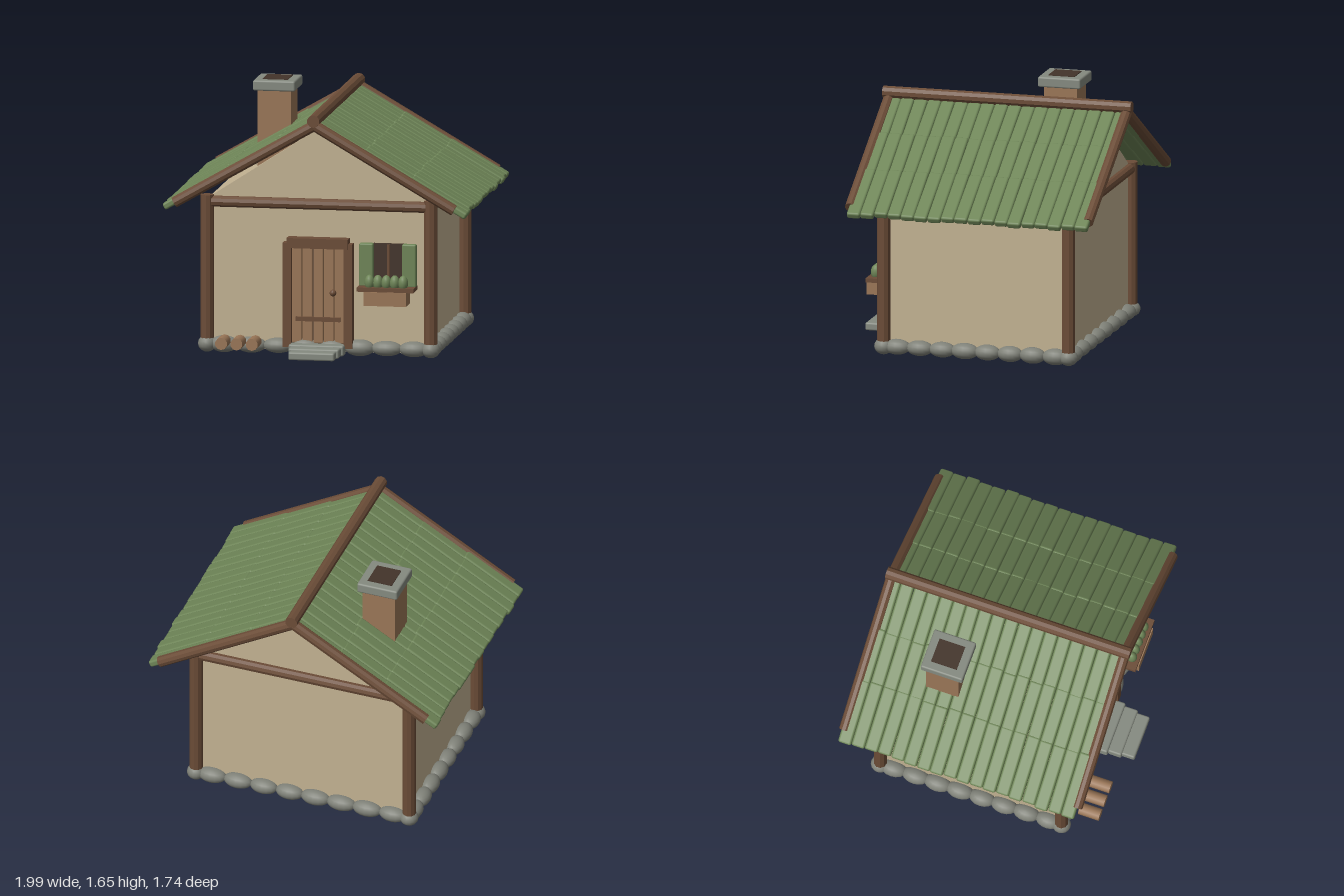
import * as THREE from 'three';
import { RoundedBoxGeometry } from 'three/addons/geometries/RoundedBoxGeometry.js';

const mat = (name, color, flatShading = false) => {
  const m = new THREE.MeshStandardMaterial({ color, flatShading });
  m.name = name;
  return m;
};

export function createModel() {
  const house = new THREE.Group();
  house.name = 'cottage';
  const plaster = mat('plaster', 0xc2b292);
  const timber = mat('timber', 0x6b4c37, true);
  const plankWood = mat('plankWood', 0x9a7657);
  const green = mat('green', 0x6e8557);
  const stone = mat('stone', 0x7f8178);
  const slabGrey = mat('slabGrey', 0x858a80);
  const dark = mat('dark', 0x43342a);

  let seed = 7;
  const rand = () => (seed = (seed * 16807) % 2147483647) / 2147483647 - 0.5;

  const add = (name, geo, material, x, y, z, parent = house) => {
    const m = new THREE.Mesh(geo, material);
    m.name = name;
    m.position.set(x, y, z);
    parent.add(m);
    return m;
  };
  const box = (name, material, w, h, d, x, y, z, parent) =>
    add(name, new THREE.BoxGeometry(w, h, d), material, x, y, z, parent);
  const rbox = (name, material, w, h, d, r, x, y, z, parent) =>
    add(name, new RoundedBoxGeometry(w, h, d, 2, r), material, x, y, z, parent);
  // Straight log between two points
  const log = (name, r, a, b, material = timber, parent = house) => {
    const p = new THREE.Vector3(...a), q = new THREE.Vector3(...b);
    const d = q.clone().sub(p);
    const m = add(name, new THREE.CylinderGeometry(r, r, d.length(), 10), material, 0, 0, 0, parent);
    m.position.copy(p).add(q).multiplyScalar(0.5);
    m.quaternion.setFromUnitVectors(new THREE.Vector3(0, 1, 0), d.normalize());
    return m;
  };

  const zF = 0.58, zB = -0.655, zC = (zF + zB) / 2;

  // Walls and gables
  box('walls', plaster, 1.4, 1.0, zF - zB - 0.02, 0, 0.53, zC);
  const tri = new THREE.Shape([[-0.7, 1.025], [0.7, 1.025], [0, 1.48]].map(p => new THREE.Vector2(...p)));
  const gableGeo = new THREE.ExtrudeGeometry(tri, { depth: 0.06, bevelEnabled: false });
  add('frontGable', gableGeo, plaster, 0, 0, zF - 0.07);
  add('backGable', gableGeo, plaster, 0, 0, zB + 0.01);

  // Corner posts and tie beams
  for (const z of [zF, zB]) {
    for (const x of [-0.73, 0.73]) log('cornerPost', 0.044, [x, 0.05, z], [x, 1.03, z]);
    log('tieBeam', 0.036, [-0.7, 0.987, z], [0.7, 0.987, z]);
  }

  // Foundation stones
  const ball = new THREE.SphereGeometry(1, 16, 10);
  const stones = new THREE.Group();
  stones.name = 'foundationStones';
  house.add(stones);
  const cobble = (x, z, rx, rz) =>
    add('stone', ball, stone, x, 0.06, z, stones).scale.set(rx, 0.052 + rand() * 0.006, rz);
  for (let i = 0; i < 8; i++) {
    const x = (i - 3.5) * 0.177;
    for (const z of [zF, zB]) cobble(x, z, 0.098 + rand() * 0.01, 0.06);
    for (const s of [-1, 1]) cobble(s * 0.73, zC + (i - 3.5) * 0.151, 0.058, 0.088 + rand() * 0.01);
  }
  for (const x of [-0.73, 0.73]) for (const z of [zF, zB]) cobble(x, z, 0.06, 0.062);

  // Roof: three rows of rounded planks on each slope
  const pitch = Math.PI / 6, cos = Math.cos(pitch), tan = Math.tan(pitch), apex = 1.528;
  for (const side of [-1, 1]) {
    const slope = new THREE.Group();
    slope.name = side > 0 ? 'leftRoofSlope' : 'rightRoofSlope';
    house.add(slope);
    for (let row = 0; row < 3; row++) {
      for (let i = 0; i < 18; i++) {
        const x0 = row * 0.303 + (row ? rand() * 0.012 : 0.01);
        const x1 = row === 2 ? 0.983 + rand() * 0.015 : x0 + 0.37;
        const xm = (x0 + x1) / 2;
        const p = rbox('shingle', green, (x1 - x0) / cos, 0.045, 0.088, 0.014,
          side * xm, apex - xm * tan + (row - 1) * 0.005 + rand() * 0.004, 0.71 - i * 0.0893, slope);
        p.rotation.z = -side * pitch;
        p.rotation.x = rand() * 0.03;
      }
    }
    for (const z of [0.752, -0.835])
      log('bargeLog', 0.036, [0, apex, z], [side * 0.912, apex - 0.912 * tan, z]);
  }
  log('ridgeLog', 0.041, [0, 1.56, -0.87], [0, 1.56, 0.79]);

  // Chimney
  box('chimneyStack', plankWood, 0.22, 0.5, 0.22, -0.43, 1.34, -0.3);
  rbox('chimneyCap', slabGrey, 0.275, 0.068, 0.285, 0.012, -0.428, 1.62, -0.298);
  box('chimneyHole', dark, 0.165, 0.008, 0.175, -0.428, 1.655, -0.3);

  // Door
  const door = new THREE.Group();
  door.name = 'door';
  house.add(door);
  box('doorBacking', dark, 0.35, 0.63, 0.03, 0, 0.4, 0.575, door);
  for (let i = -2; i <= 2; i++)
    rbox('doorPlank', plankWood, 0.066, 0.63, 0.035, 0.007, i * 0.07, 0.4, 0.595, door);
  for (const x of [-0.2, 0.2]) {
    box('doorJamb', timber, 0.055, 0.68, 0.07, x, 0.4, 0.61, door);
  }
  box('doorLintel', timber, 0.4, 0.065, 0.08, 0, 0.74, 0.613, door);
  box('doorBar', timber, 0.29, 0.028, 0.02, 0, 0.244, 0.62, door);
  add('doorKnob', new THREE.SphereGeometry(0.022, 14, 10), timber, 0.1, 0.42, 0.63, door);

  // Window with shutters and planter
  const win = new THREE.Group();
  win.name = 'window';
  house.add(win);
  const wx = 0.457;
  box('windowPane', dark, 0.2, 0.27, 0.04, wx, 0.61, 0.575, win);
  box('windowMullion', timber, 0.018, 0.26, 0.02, wx, 0.61, 0.595, win);
  for (const s of [-1, 1])
    rbox('shutter', green, 0.092, 0.28, 0.05, 0.01, wx + s * 0.14, 0.61, 0.615, win);
  box('windowSill', timber, 0.37, 0.027, 0.15, wx, 0.463, 0.652, win);
  box('planterBox', plankWood, 0.275, 0.09, 0.155, wx, 0.405, 0.657, win);
  for (let i = -2; i <= 2; i++)
    add('plant', ball, green, wx + i * 0.055, 0.505, 0.678, win).scale.set(0.032, 0.05, 0.034);

  // Door steps
  [[0.3, 0.825], [0.33, 0.74], [0.36, 0.65]].forEach(([w, z], i) =>
    rbox('stepSlab', slabGrey, w, 0.052 + i * 0.008, 0.092, 0.012, 0, 0.04 + i * 0.006, z));

  // Firewood
  for (const x of [-0.6, -0.5, -0.4])
    log('firewood', 0.04, [x, 0.095, 0.66], [x, 0.095, 0.8], plankWood);

  return house;
}
